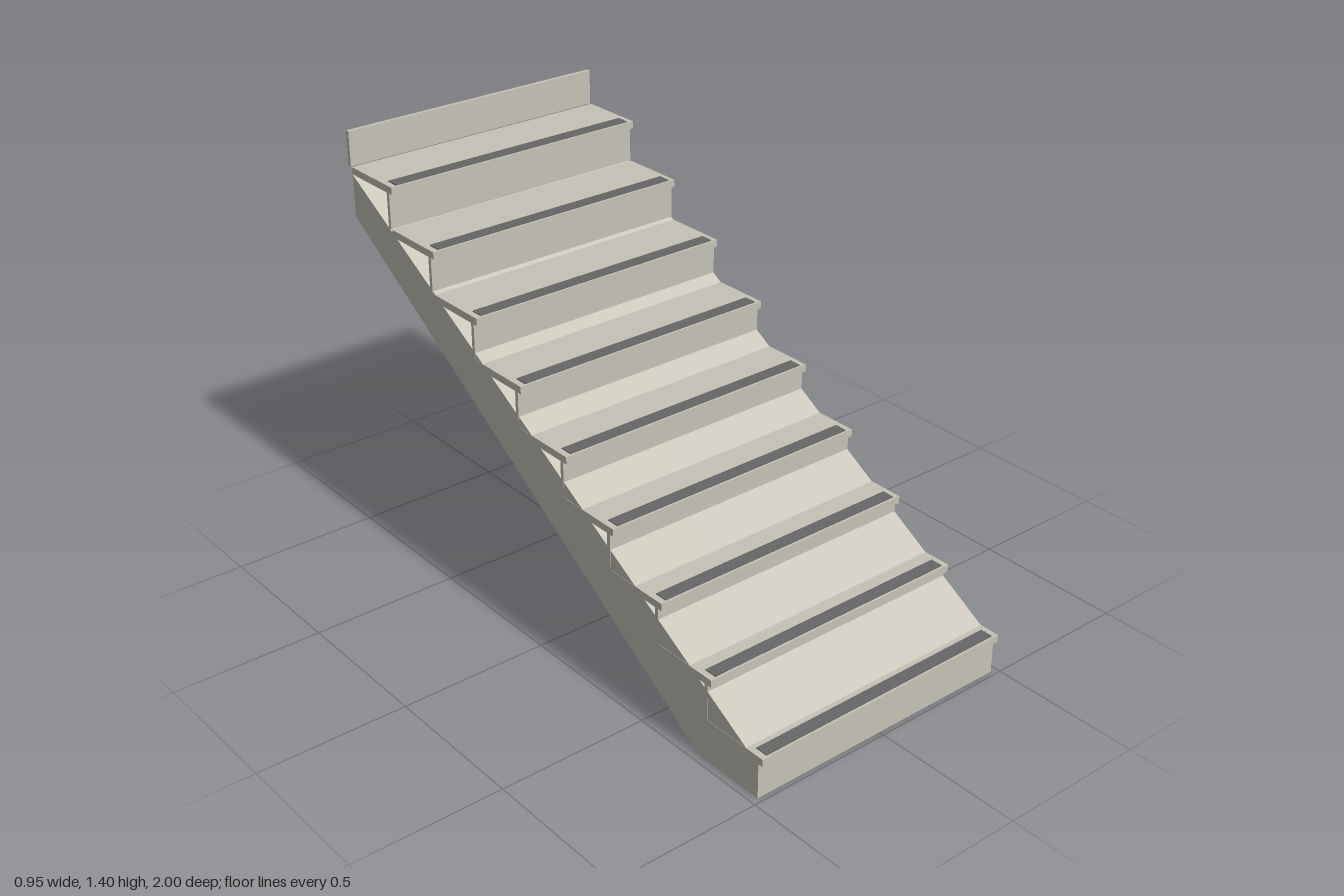
import * as THREE from 'three';

const WIDTH = 0.952;
const STEPS = 9;
const RISE = 0.1431;
const RUN = 0.2188;
const TREAD = 0.024;

export function createModel() {
  const group = new THREE.Group();
  group.name = 'staircase';
  const concrete = new THREE.MeshStandardMaterial({ color: 0xc6c2b6 });
  concrete.name = 'concrete';
  const grip = new THREE.MeshStandardMaterial({ color: 0x696969 });
  grip.name = 'dark grip';

  // Box given by its y and z ranges, centred on x
  const slab = (name, parent, material, width, y0, y1, z0, z1) => {
    const mesh = new THREE.Mesh(new THREE.BoxGeometry(width, y1 - y0, z1 - z0), material);
    mesh.position.set(0, (y0 + y1) / 2, (z0 + z1) / 2);
    mesh.name = name;
    parent.add(mesh);
  };

  // Solid sloping body, profile drawn in z and y
  const profile = new THREE.Shape(
    [[0.97, 0], [0.97, 0.12], [-0.98, 1.262], [-0.98, 1.12], [0.73, 0]]
      .map(([z, y]) => new THREE.Vector2(z, y))
  );
  const bodyGeometry = new THREE.ExtrudeGeometry(profile, { depth: WIDTH - 0.002, bevelEnabled: false });
  bodyGeometry.rotateY(-Math.PI / 2).translate(WIDTH / 2 - 0.001, 0, 0);
  const body = new THREE.Mesh(bodyGeometry, concrete);
  body.name = 'slopingBody';
  group.add(body);

  for (let i = 0; i < STEPS; i++) {
    const step = new THREE.Group();
    step.name = `step${i + 1}`;
    group.add(step);
    const top = (i + 1) * RISE;
    const nose = 1 - i * RUN;

    // Overhanging tread and the riser set back beneath it
    slab('tread', step, concrete, WIDTH, top - TREAD, top, nose - 0.23, nose);
    slab('riser', step, concrete, WIDTH, i * RISE, top - TREAD, nose - 0.029, nose - 0.016);

    // Non-slip strip with fine ribs
    slab('gripStrip', step, grip, 0.91, top, top + 0.002, nose - 0.05, nose - 0.007);
    for (let r = 0; r < 4; r++) {
      const z = nose - 0.0095 - r * 0.0113;
      slab('gripRib', step, grip, 0.91, top + 0.002, top + 0.004, z - 0.005, z);
    }
  }

  // Final riser above the last tread
  slab('topRiser', group, concrete, WIDTH, STEPS * RISE, 1.405, -1, -0.986);
  return group;
}
